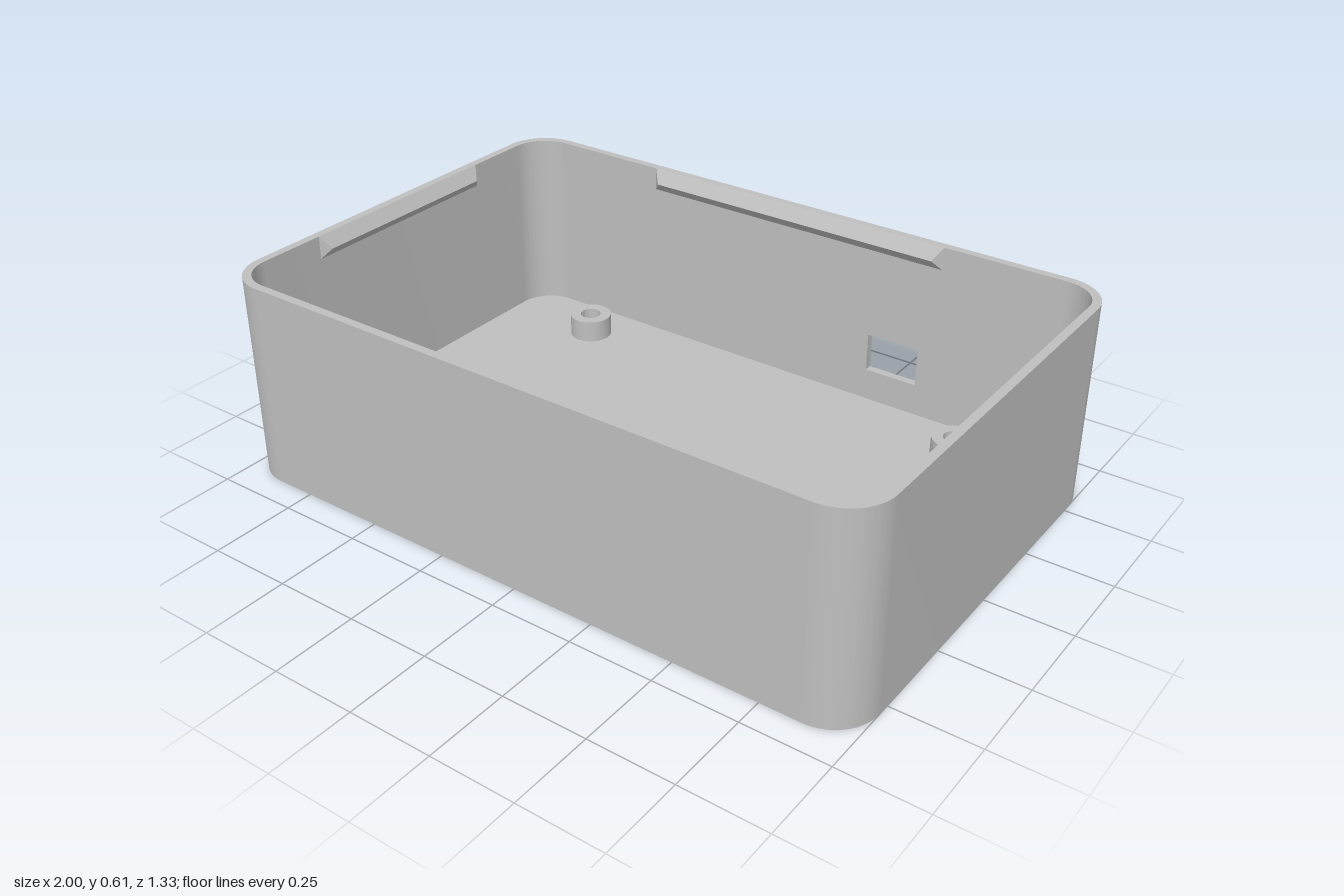
import * as THREE from 'three';
import { toCreasedNormals } from 'three/addons/utils/BufferGeometryUtils.js';

const H = 0.61, FLOOR = 0.05, T = 0.025;   // height, floor and wall thickness
const W = 1, D = 0.667, R = 0.133;         // outer half width, half depth, corner radius
const CX = W - R, CZ = D - R, RI = R - T;  // corner centres, inner radius
const PI = Math.PI;
const POST_R = 0.065, SINK_R = 0.068;

// Extrude a plan shape upwards from y = 0
function rise(shape, depth) {
  const g = new THREE.ExtrudeGeometry(shape, { depth, bevelEnabled: false, curveSegments: 32 });
  g.rotateX(-PI / 2);
  return toCreasedNormals(g, 0.5);
}

function circleHole(shape, x, y, r) {
  const p = new THREE.Path();
  p.absarc(x, y, r, 0, 2 * PI, true);
  shape.holes.push(p);
}

function lathe(points) {
  const pts = points.map(([r, y]) => new THREE.Vector2(r, y));
  return toCreasedNormals(new THREE.LatheGeometry(pts, 32), 0.5);
}

// Snap ridge: sloped above and below, with mitred ends, growing towards +z
function ridgeGeometry(half) {
  const a = [-half, H, 0], b = [half, H, 0], c = [half, 0.54, 0], d = [-half, 0.54, 0];
  const e = [-half + T, 0.57, T], f = [half - T, 0.57, T];
  const tris = [e, f, b, e, b, a, d, c, f, d, f, e, a, d, e, b, f, c];
  const g = new THREE.BufferGeometry();
  g.setAttribute('position', new THREE.Float32BufferAttribute(tris.flat(), 3));
  g.computeVertexNormals();
  return g;
}

export function createModel() {
  const model = new THREE.Group();
  model.name = 'enclosureBase';
  const grey = new THREE.MeshStandardMaterial({ color: 0xbfbfbf });
  grey.name = 'grey plastic';

  const add = (name, geometry, x = 0, y = 0, z = 0, turn = 0) => {
    const mesh = new THREE.Mesh(geometry, grey);
    mesh.name = name;
    mesh.position.set(x, y, z);
    mesh.rotation.y = turn;
    model.add(mesh);
  };

  // Front and side walls with all four rounded corners
  const wall = new THREE.Shape();
  wall.moveTo(CX, D);
  wall.absarc(CX, CZ, R, PI / 2, 0, true);
  wall.absarc(CX, -CZ, R, 0, -PI / 2, true);
  wall.absarc(-CX, -CZ, R, -PI / 2, -PI, true);
  wall.absarc(-CX, CZ, R, PI, PI / 2, true);
  wall.lineTo(-CX, CZ + RI);
  wall.absarc(-CX, CZ, RI, PI / 2, PI, false);
  wall.absarc(-CX, -CZ, RI, PI, 1.5 * PI, false);
  wall.absarc(CX, -CZ, RI, 1.5 * PI, 2 * PI, false);
  wall.absarc(CX, CZ, RI, 0, PI / 2, false);
  wall.closePath();
  add('sideWalls', rise(wall, H));

  // Back wall with a rectangular port
  const back = new THREE.Shape();
  back.moveTo(-CX, 0).lineTo(CX, 0).lineTo(CX, H).lineTo(-CX, H).closePath();
  const port = new THREE.Path();
  port.moveTo(0.28, 0.148).lineTo(0.28, 0.266).lineTo(0.446, 0.266).lineTo(0.446, 0.148).closePath();
  back.holes.push(port);
  add('backWall', new THREE.ExtrudeGeometry(back, { depth: T, bevelEnabled: false }), 0, 0, -D);

  // Floor with openings for posts and screw holes
  const floor = new THREE.Shape();
  floor.absarc(CX, CZ, RI, 0, PI / 2, false);
  floor.absarc(-CX, CZ, RI, PI / 2, PI, false);
  floor.absarc(-CX, -CZ, RI, PI, 1.5 * PI, false);
  floor.absarc(CX, -CZ, RI, 1.5 * PI, 2 * PI, false);
  const posts = [[1, 1], [1, -1], [-1, 1], [-1, -1]].map(([i, j]) => [i * 0.655, j * 0.492]);
  const screws = [[0.833, 0], [-0.833, 0]];
  posts.forEach(([x, z]) => circleHole(floor, x, -z, POST_R));
  screws.forEach(([x, z]) => circleHole(floor, x, -z, SINK_R));
  add('floor', rise(floor, FLOOR));

  // Hollow mounting posts, countersunk from below
  const postGeo = lathe([[POST_R, FLOOR], [POST_R, 0.118], [0.032, 0.118], [0.032, 0.033], [POST_R, 0]]);
  posts.forEach(([x, z]) => add('mountingPost', postGeo, x, 0, z));

  // Screw holes, countersunk from inside
  const sinkGeo = lathe([[SINK_R, FLOOR], [0.035, 0.017], [0.035, 0], [SINK_R, 0]]);
  screws.forEach(([x, z]) => add('countersunkHole', sinkGeo, x, 0, z));

  // Snap ridges under the rim on each wall
  const longRidge = ridgeGeometry(0.5), shortRidge = ridgeGeometry(0.333);
  add('backRidge', longRidge, 0, 0, -D + T, 0);
  add('frontRidge', longRidge, 0, 0, D - T, PI);
  add('rightRidge', shortRidge, -W + T, 0, 0, PI / 2);
  add('leftRidge', shortRidge, W - T, 0, 0, -PI / 2);

  return model;
}
